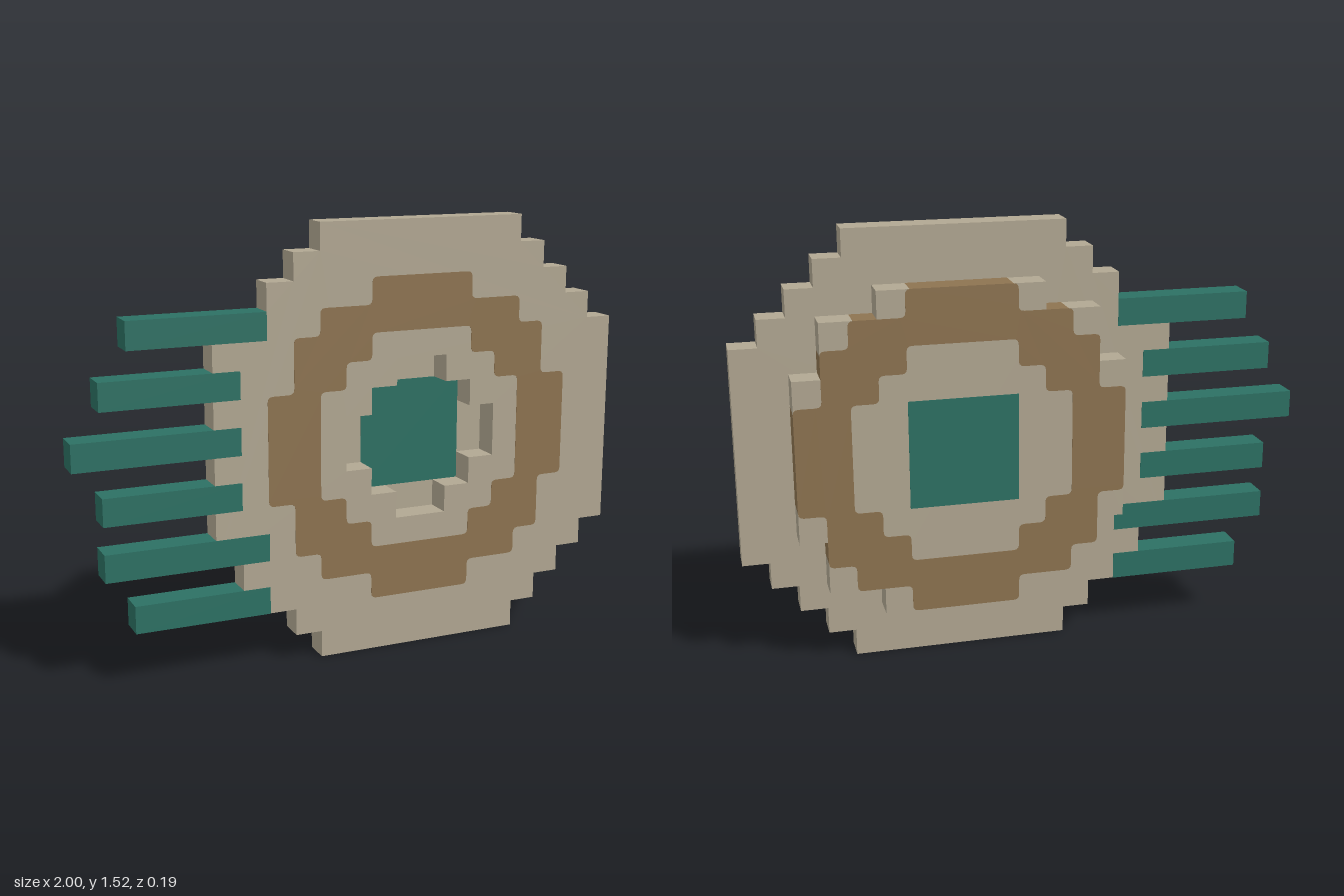
import * as THREE from 'three';

const U = 2 / 21; // one block of the stepped pattern

const mat = (name, color) => {
  const m = new THREE.MeshStandardMaterial({ color });
  m.name = name;
  return m;
};

// Full stepped outline from quadrant steps [halfWidth, topHeight], widest first
function steppedPoints(steps) {
  const quad = [];
  steps.forEach(([w, h], i) => {
    if (i) quad.push([w, steps[i - 1][1]]);
    quad.push([w, h]);
  });
  const back = [...quad].reverse();
  return [
    ...quad,
    ...back.map(([x, y]) => [-x, y]),
    ...quad.map(([x, y]) => [-x, -y]),
    ...back.map(([x, y]) => [x, -y]),
  ].map(([x, y]) => new THREE.Vector2(x, y));
}

// Draw an outline, optionally rounding every corner by r
function outline(path, steps, r = 0) {
  const pts = steppedPoints(steps);
  if (!r) return path.setFromPoints(pts);
  pts.forEach((p, i) => {
    const prev = pts[(i + pts.length - 1) % pts.length];
    const next = pts[(i + 1) % pts.length];
    const a = p.clone().add(prev.clone().sub(p).setLength(r));
    const b = p.clone().add(next.clone().sub(p).setLength(r));
    if (i) path.lineTo(a.x, a.y);
    else path.moveTo(a.x, a.y);
    path.quadraticCurveTo(p.x, p.y, b.x, b.y);
  });
  path.closePath();
  return path;
}

export function createModel() {
  const tan = mat('tan', 0xb1a792);
  const brown = mat('brown', 0x8d7350);
  const teal = mat('teal', 0x2c7063);

  const model = new THREE.Group();
  model.name = 'steppedDisc';
  const body = new THREE.Group();
  body.name = 'body';
  body.scale.setScalar(U);
  body.position.set(2.5 * U, 8 * U, 0);
  model.add(body);

  const add = (name, geometry, material) => {
    const mesh = new THREE.Mesh(geometry, material);
    mesh.name = name;
    body.add(mesh);
    return mesh;
  };

  const slab = (name, material, outer, inner, z0, z1, r = 0) => {
    const shape = outline(new THREE.Shape(), outer, r);
    if (inner) shape.holes.push(outline(new THREE.Path(), inner, r));
    const g = new THREE.ExtrudeGeometry(shape, {
      depth: z1 - z0, bevelEnabled: false, curveSegments: 3,
    });
    return add(name, g.translate(0, 0, z0), material);
  };

  const box = (name, material, x0, x1, y0, y1, z0, z1) => add(
    name,
    new THREE.BoxGeometry(x1 - x0, y1 - y0, z1 - z0)
      .translate((x0 + x1) / 2, (y0 + y1) / 2, (z0 + z1) / 2),
    material,
  );

  const E = 0.012; // painted faces stand slightly proud

  // Front disc with its cross-shaped recess, and the smaller back disc
  slab('frontDisc', tan, [[8, 4], [7, 5], [6, 6], [5, 7], [4, 8]], [[3, 1], [2, 2], [1, 3]], 0, 1);
  slab('backDisc', tan, [[6, 3], [5, 5], [3, 6]], null, -1, 0);

  // Brown ring running through both discs
  const ring = slab('ring', brown, [[6, 2], [5, 4], [4, 5], [2, 6]], [[4, 2], [3, 3], [2, 4]],
    -1 - E, 1 + E, 0.2);
  ring.scale.set(1.001, 1.001, 1);

  // Square core: recess floor at the front, flush at the back
  box('core', teal, -2, 2, -2, 2, -1 - E, E);

  // Bars along one side: [row, outer end, inner end] in blocks from the centre
  const bars = [[4, -11, -6], [2, -12, -7], [0, -13, -7], [-2, -12, -7], [-4, -12, -6], [-6, -11, -6]];
  bars.forEach(([row, x0, x1], i) => {
    box(`bar${i + 1}`, teal, x0, x1, row - E / 2, row + 1 + E / 2, -E, 1 + E);
  });

  // Centre the bars and disc together across x
  body.updateMatrixWorld(true);
  const b = new THREE.Box3().setFromObject(body);
  body.position.x -= (b.min.x + b.max.x) / 2;
  return model;
}
